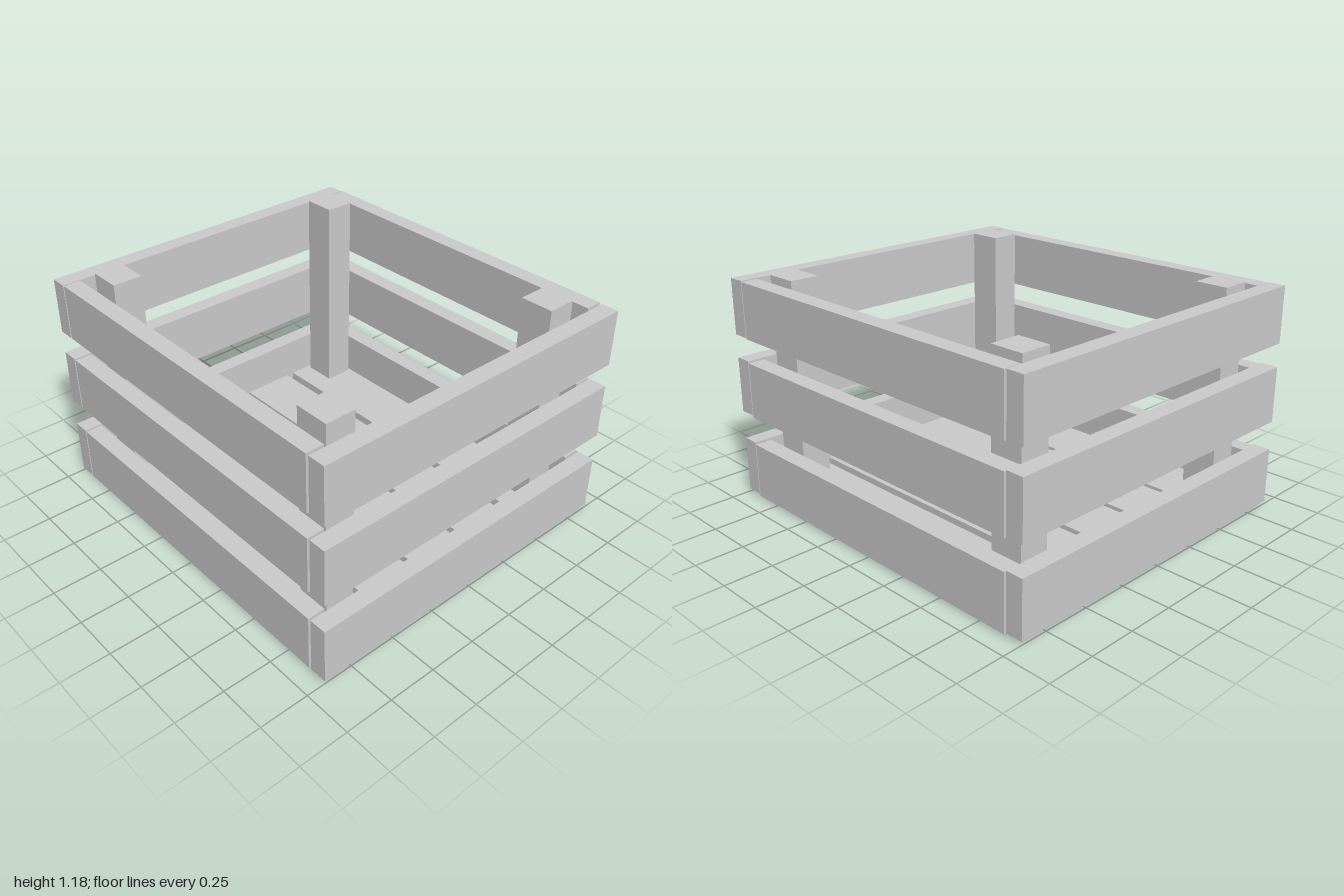
import * as THREE from 'three';

const material = new THREE.MeshStandardMaterial({ color: 0xcccccc, flatShading: true });

// Box given by its lower and upper limits on each axis
function plank(name, [x0, x1], [y0, y1], [z0, z1]) {
  const mesh = new THREE.Mesh(new THREE.BoxGeometry(x1 - x0, y1 - y0, z1 - z0), material);
  mesh.position.set((x0 + x1) / 2, (y0 + y1) / 2, (z0 + z1) / 2);
  mesh.name = name;
  return mesh;
}

export function createModel() {
  const crate = new THREE.Group();
  crate.name = 'slattedCrate';
  const boardHeight = 0.29;
  const thickness = 0.09;
  const sideSpan = [-0.905, 0.893];

  // Floor slats running front to back
  for (const x of [-0.795, -0.477, -0.157, 0.167, 0.5]) {
    crate.add(plank('floorSlat', [x, x + boardHeight], [0, thickness], sideSpan));
  }

  // Three tiers of wall boards; the side boards sit a touch lower
  const tiers = [[0.015, 0.01], [0.455, 0.45], [0.867, 0.866]];
  for (const [endY, sideY] of tiers) {
    const endRange = [endY, endY + boardHeight];
    const sideRange = [sideY, sideY + boardHeight];
    crate.add(
      plank('frontBoard', [-0.902, 0.893], endRange, [0.91, 1]),
      plank('backBoard', [-0.902, 0.893], endRange, [-1, -0.91]),
      plank('leftBoard', [0.81, 0.9], sideRange, sideSpan),
      plank('rightBoard', [-0.9, -0.81], sideRange, sideSpan)
    );
  }

  // Corner posts standing on the floor
  for (const x of [[-0.742, -0.587], [0.622, 0.777]]) {
    for (const z of [[-0.88, -0.707], [0.652, 0.827]]) {
      crate.add(plank('cornerPost', x, [0.08, 1.182], z));
    }
  }
  return crate;
}
